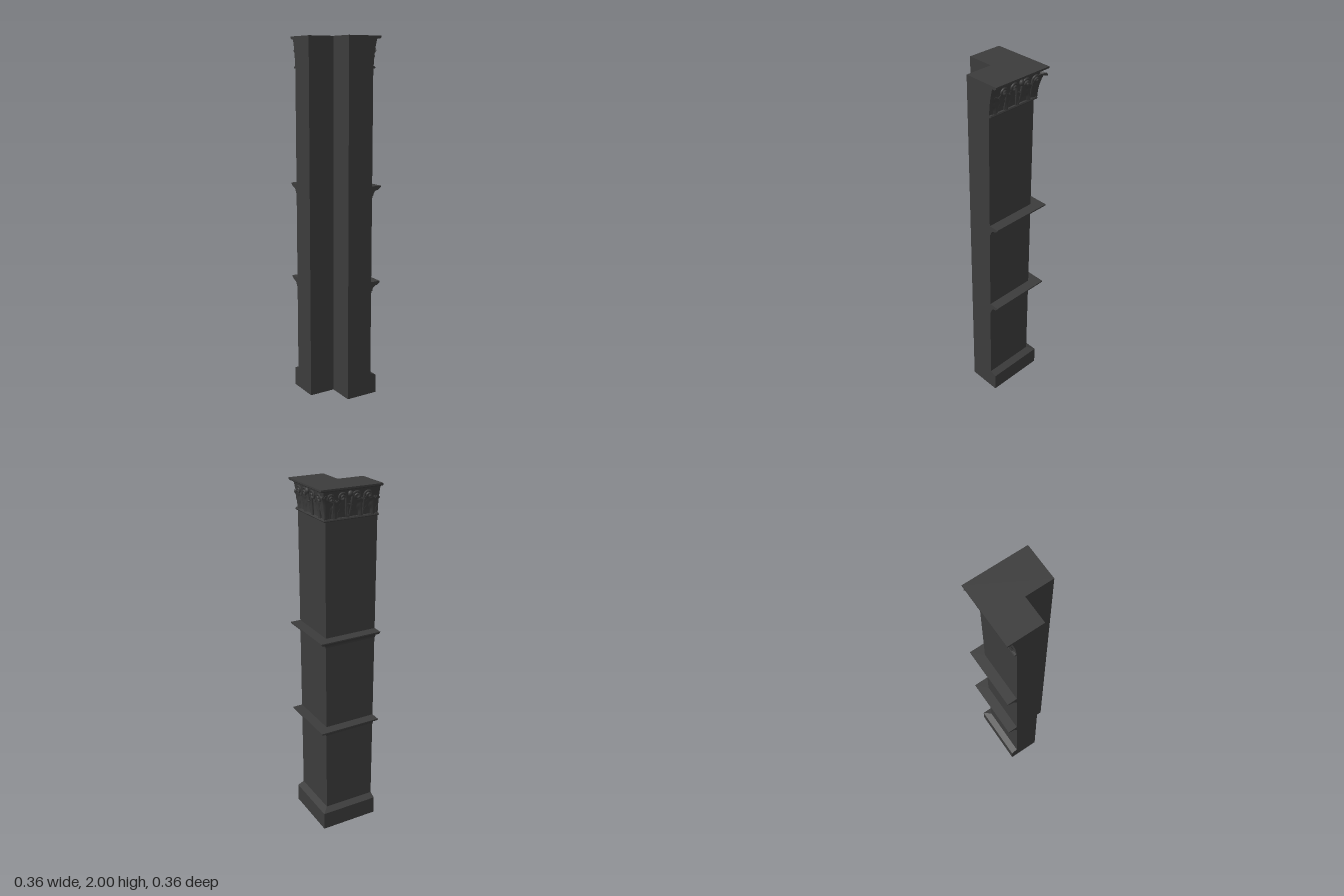
import * as THREE from 'three';

const material = new THREE.MeshStandardMaterial({ color: 0x3c3c3c });
const leafMaterial = new THREE.MeshStandardMaterial({ color: 0x3c3c3c, side: THREE.DoubleSide });

// L-shaped outline whose two outer faces sit at distance o from the axes
const outline = (o) => [[-0.18, -o], [o, -o], [o, 0.18], [-0.03, 0.18], [-0.03, 0.025], [-0.18, 0.025]];

// Stack of L outlines through [offset, height] pairs, closed at both ends
function loft(name, profile) {
  const pos = [];
  const rings = profile.map(([o, y]) => outline(o).map(([x, z]) => [x, y, z]));
  const tri = (a, b, c) => pos.push(...a, ...b, ...c);
  for (let i = 0; i < rings.length - 1; i++) {
    for (let k = 0; k < 6; k++) {
      const a = rings[i][k], b = rings[i][(k + 1) % 6];
      const c = rings[i + 1][(k + 1) % 6], d = rings[i + 1][k];
      tri(a, c, b);
      tri(a, d, c);
    }
  }
  const caps = [[0, 1, 4], [0, 4, 5], [1, 2, 3], [1, 3, 4]];
  const low = rings[0], high = rings[rings.length - 1];
  for (const [a, b, c] of caps) {
    tri(low[a], low[b], low[c]);
    tri(high[a], high[c], high[b]);
  }
  const geometry = new THREE.BufferGeometry();
  geometry.setAttribute('position', new THREE.Float32BufferAttribute(pos, 3));
  geometry.computeVertexNormals();
  const mesh = new THREE.Mesh(geometry, material);
  mesh.name = name;
  return mesh;
}

// Cove moulding that flares out under a thin flat lip
function bandProfile(y) {
  const points = [[0.125, y], [0.125, y + 0.01]];
  for (let i = 0; i <= 6; i++) {
    const a = (i / 6) * Math.PI / 2;
    points.push([0.162 - 0.032 * Math.cos(a), y + 0.012 + 0.03 * Math.sin(a)]);
  }
  points.push([0.172, y + 0.05], [0.18, y + 0.056], [0.18, y + 0.063]);
  return points;
}

// Outward distance of the capital's core at height y
const bell = (y) => 0.124 + 0.026 * Math.pow(Math.max(0, (y - 1.83) / 0.17), 2);

// Lobed leaf rising on the core and curling over at its tip
function leaf(name, u, halfWidth, height, y0, curl, corner = false) {
  const geometry = new THREE.PlaneGeometry(2, 1, 8, 24);
  const p = geometry.attributes.position;
  for (let i = 0; i < p.count; i++) {
    const s = p.getX(i), t = p.getY(i) + 0.5;
    const lobes = 1 + 0.16 * Math.cos(t * Math.PI * 8);
    const w = halfWidth * (0.45 + 0.55 * Math.sin(Math.PI * t)) * Math.sqrt(1 - 0.97 * t ** 4) * lobes;
    const y = y0 + height * Math.sin(t * 2.05);
    const ribs = 0.009 * (1 - Math.abs(s)) + 0.002 * Math.cos(s * Math.PI * 4);
    const base = corner ? Math.SQRT2 * bell(y) - Math.abs(s * w) : bell(y);
    p.setXYZ(i, u + s * w, y, base + 0.003 + ribs + curl * t * t);
  }
  geometry.computeVertexNormals();
  const mesh = new THREE.Mesh(geometry, leafMaterial);
  mesh.name = name;
  return mesh;
}

// Stem that rises from the foot of the capital and rolls into a spiral
function scroll(name, footU, centreU, centreY, radius, side) {
  const at = (u, y, lift) => new THREE.Vector3(u, y, bell(y) + lift);
  const points = [at(footU, 1.843, 0.004), at((footU + centreU - side * radius) / 2, 1.885, 0.008)];
  for (let i = 0; i <= 20; i++) {
    const k = i / 20, a = Math.PI * (1 - 3 * k), r = radius * (1 - 0.8 * k);
    points.push(at(centreU + side * r * Math.cos(a), centreY + r * Math.sin(a), 0.008 + 0.01 * k));
  }
  const curve = new THREE.CatmullRomCurve3(points);
  const mesh = new THREE.Mesh(new THREE.TubeGeometry(curve, 64, 0.0055, 6), material);
  mesh.name = name;
  return mesh;
}

// Carving of one outer face; m mirrors it so the column's corner is at +0.12 * m
function carvedFace(name, angle, m) {
  const face = new THREE.Group();
  face.name = name;
  for (const u of [-0.145, -0.075, 0.075]) {
    face.add(leaf('acanthusLeaf', u * m, 0.032, 0.095, 1.842, 0.014));
  }
  face.add(leaf('centreLeaf', 0, 0.022, 0.075, 1.842, 0.012));
  for (const side of [-1, 1]) {
    face.add(scroll('innerScroll', side * 0.006, side * 0.042, 1.95, 0.023, side));
    face.add(scroll('outerScroll', side * 0.085, side * 0.108, 1.948, 0.021, side));
  }
  // Small flower under the middle of the top slab
  const flower = new THREE.Mesh(new THREE.SphereGeometry(0.014, 12, 8), material);
  flower.scale.set(1, 1.1, 0.8);
  flower.position.set(0, 1.965, 0.158);
  flower.name = 'centreFlower';
  face.add(flower);
  face.rotation.y = angle;
  return face;
}

export function createModel() {
  const model = new THREE.Group();
  model.name = 'cornerPilaster';

  // Plinth with a sloped top edge
  model.add(loft('plinth', [[0.16, 0], [0.16, 0.105], [0.122, 0.122]]));

  // Shaft sections between the mouldings
  const sections = [[0.122, 0.6], [0.663, 1.14], [1.203, 1.83]];
  sections.forEach(([y0, y1]) => model.add(loft('shaft', [[0.122, y0], [0.122, y1]])));
  model.add(loft('lowerBand', bandProfile(0.6)), loft('upperBand', bandProfile(1.14)));

  // Capital: core with a foot bead, and the top slab
  const core = [[0.133, 1.83], [0.136, 1.835], [0.133, 1.842], [bell(1.843), 1.843]];
  for (let i = 1; i <= 6; i++) {
    const y = 1.843 + (0.142 * i) / 6;
    core.push([bell(y), y]);
  }
  model.add(loft('capitalCore', core));
  model.add(loft('capitalSlab', [[0.163, 1.985], [0.172, 1.991], [0.172, 2]]));

  // Carving on the two outer faces and a leaf wrapping the corner
  model.add(carvedFace('sideCarving', Math.PI / 2, 1));
  model.add(carvedFace('backCarving', Math.PI, -1));
  const corner = new THREE.Group();
  corner.name = 'cornerCarving';
  corner.add(leaf('cornerLeaf', 0, 0.038, 0.125, 1.842, 0.03, true));
  corner.rotation.y = Math.PI * 0.75;
  model.add(corner);
  return model;
}
